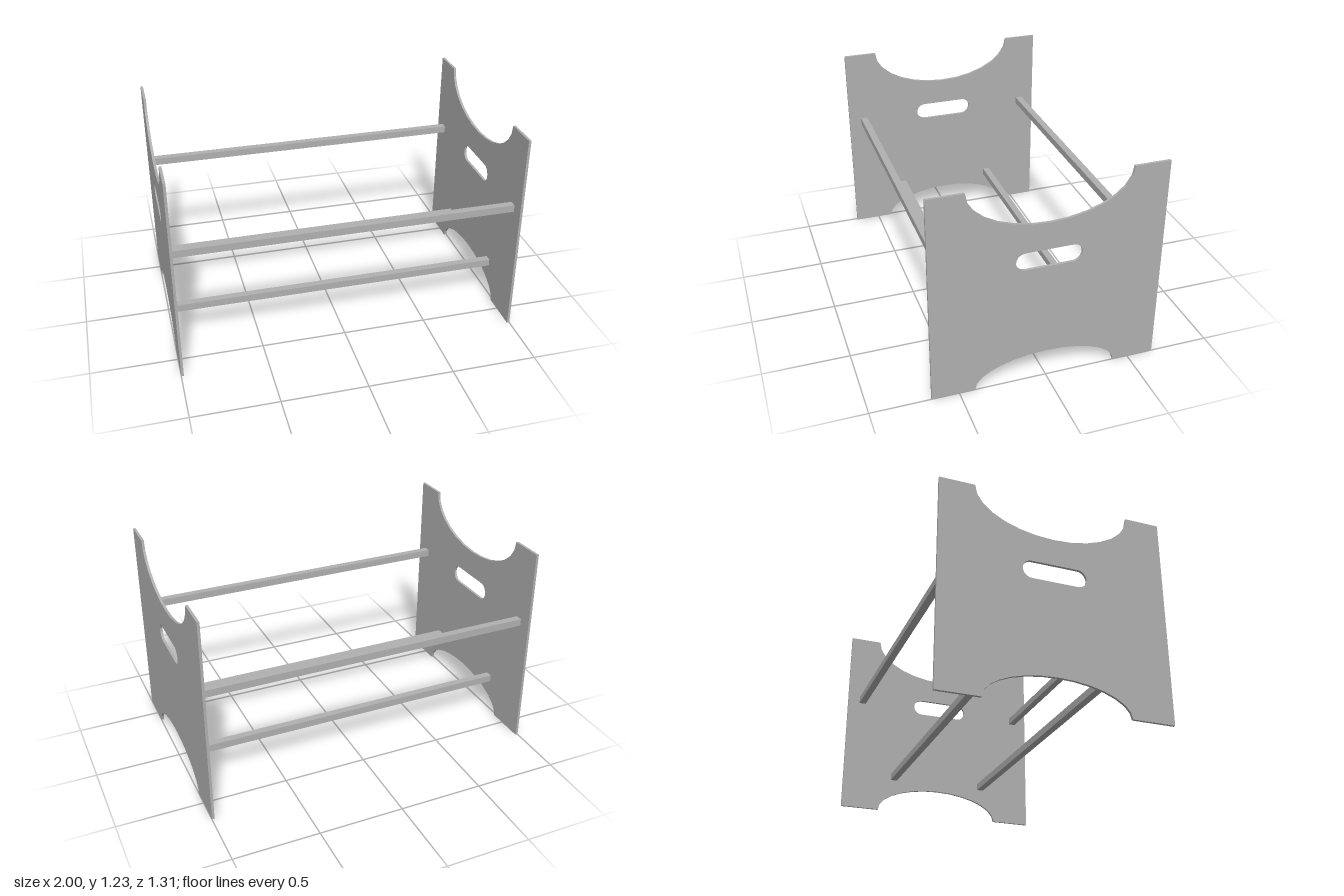
import * as THREE from 'three';

const HEIGHT = 1.23, HALF_DEPTH = 0.655, THICK = 0.015, BAR = 0.043;
// bar centres as [z, y]
const BARS = [[0.556, 0.762], [-0.556, 0.762], [0.31, 0.234], [-0.31, 0.234]];

// side panel outline, with shape x running along model z
function panelShape() {
  const s = new THREE.Shape();
  s.moveTo(-HALF_DEPTH, 0);
  s.lineTo(-0.41, 0);
  s.absellipse(0, 0, 0.41, 0.167, Math.PI, 0, true); // foot arch
  s.lineTo(HALF_DEPTH, 0);
  s.lineTo(HALF_DEPTH, HEIGHT);
  s.lineTo(0.453, HEIGHT);
  s.absellipse(0, HEIGHT, 0.453, 0.245, 0, Math.PI, true); // top scoop
  s.lineTo(-HALF_DEPTH, HEIGHT);
  s.closePath();

  // rounded hand slot
  const r = 0.0525, y = 0.7725, c = 0.185 - r;
  const slot = new THREE.Path();
  slot.moveTo(-c, y - r);
  slot.lineTo(c, y - r);
  slot.absarc(c, y, r, -Math.PI / 2, Math.PI / 2, false);
  slot.lineTo(-c, y + r);
  slot.absarc(-c, y, r, Math.PI / 2, Math.PI * 1.5, false);
  s.holes.push(slot);

  // square mortises for the bars
  const h = BAR / 2;
  for (const [z, by] of BARS) {
    s.holes.push(new THREE.Path([[-h, -h], [h, -h], [h, h], [-h, h]]
      .map(([a, b]) => new THREE.Vector2(z + a, by + b))));
  }
  return s;
}

export function createModel() {
  const model = new THREE.Group();
  model.name = 'rack';
  const grey = new THREE.MeshStandardMaterial({ color: 0xb0b0b0 });
  grey.name = 'grey';

  // two matching end panels
  const panelGeo = new THREE.ExtrudeGeometry(panelShape(), { depth: THICK, bevelEnabled: false, curveSegments: 7 });
  panelGeo.translate(0, 0, -THICK / 2).rotateY(-Math.PI / 2);
  for (const side of [1, -1]) {
    const panel = new THREE.Mesh(panelGeo, grey);
    panel.name = side > 0 ? 'leftPanel' : 'rightPanel';
    panel.position.x = side * (1 - THICK / 2);
    model.add(panel);
  }

  // square bars running through both panels
  const barGeo = new THREE.BoxGeometry(2, BAR, BAR);
  for (const [z, y] of BARS) {
    const bar = new THREE.Mesh(barGeo, grey);
    bar.name = (y > 0.5 ? 'upper' : 'lower') + (z > 0 ? 'Front' : 'Back') + 'Bar';
    bar.position.set(0, y, z);
    model.add(bar);
  }
  return model;
}
